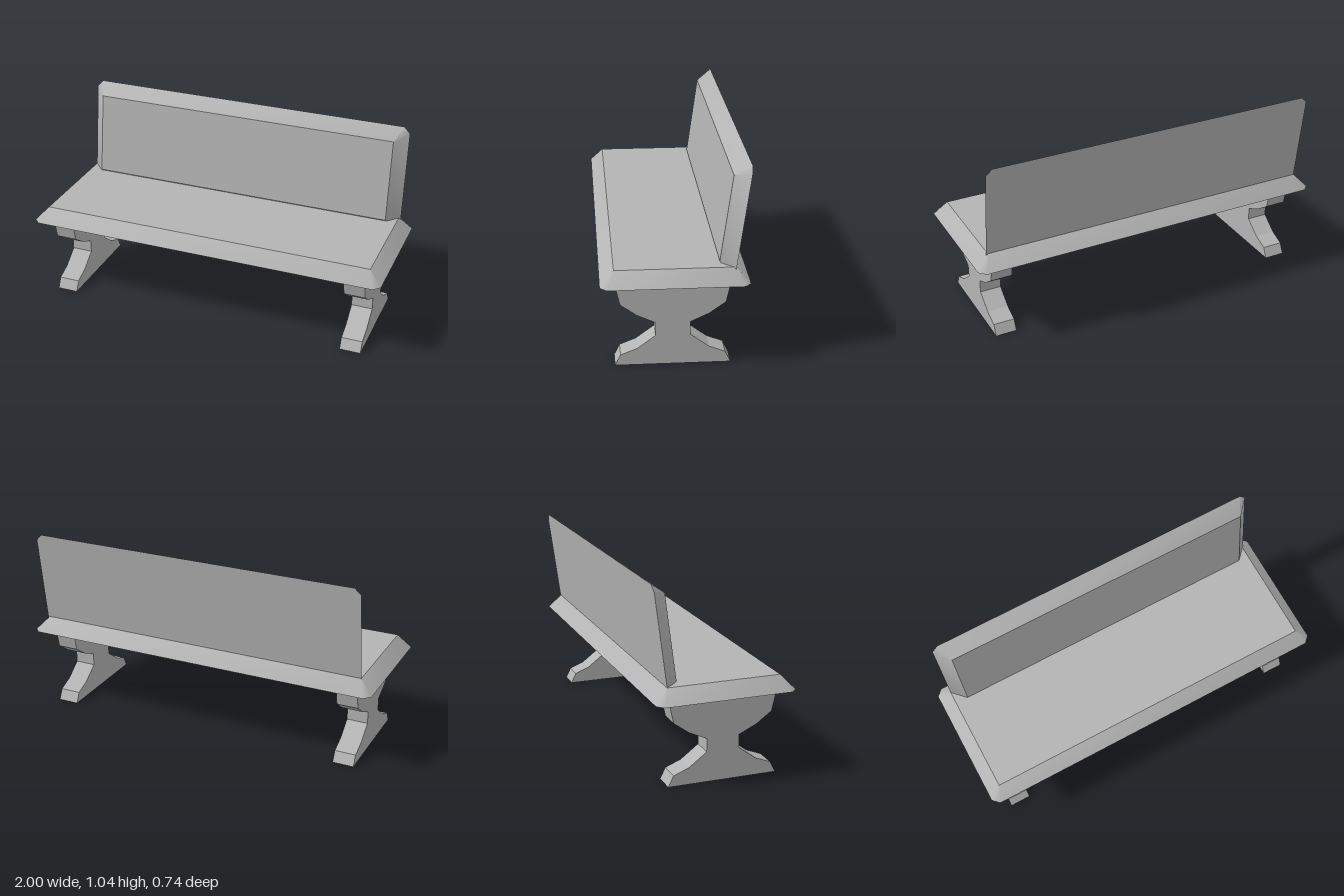
import * as THREE from 'three';
import { toCreasedNormals } from 'three/addons/utils/BufferGeometryUtils.js';

const THICK = 0.075, INSET = 0.07, CHAMFER = 0.034;

// Board in the xy plane with clipped corners, bevelled towards a smaller +z face
function bevelledBoard(width, height) {
  const outline = [], face = [];
  for (const [sx, sy] of [[1, 1], [-1, 1], [-1, -1], [1, -1]]) {
    const x = width / 2, y = height / 2;
    const a = [sx * x, sy * (y - CHAMFER), 0];
    const b = [sx * (x - CHAMFER), sy * y, 0];
    outline.push(...(sx * sy > 0 ? [a, b] : [b, a]));
    face.push([sx * (x - INSET), sy * (y - INSET), THICK]);
  }
  const v = [];
  const tri = (...points) => points.forEach((p) => v.push(...p));
  for (let i = 0; i < 4; i++) {
    const a = outline[2 * i], b = outline[2 * i + 1], c = outline[(2 * i + 2) % 8];
    const f = face[i], g = face[(i + 1) % 4];
    tri(a, b, f); // clipped corner
    tri(b, c, g); // long bevel
    tri(b, g, f);
  }
  tri(face[0], face[1], face[2]);
  tri(face[0], face[2], face[3]);
  for (let i = 1; i < 7; i++) tri(outline[0], outline[i + 1], outline[i]);
  const geometry = new THREE.BufferGeometry();
  geometry.setAttribute('position', new THREE.Float32BufferAttribute(v, 3));
  return toCreasedNormals(geometry, 0.66);
}

// Pedestal leg: symmetrical waisted profile, extruded sideways
function legGeometry(width) {
  const half = [
    [0.291, 0], [0.263, 0.057], [0.18, 0.09], [0.087, 0.16],
    [0.087, 0.23], [0.18, 0.273], [0.263, 0.333], [0.291, 0.456],
  ];
  const mirrored = half.map(([z, y]) => [-z, y]).reverse();
  const shape = new THREE.Shape([...half, ...mirrored].map(([z, y]) => new THREE.Vector2(z, y)));
  const geometry = new THREE.ExtrudeGeometry(shape, { depth: width, bevelEnabled: false });
  return geometry.translate(0, 0, -width / 2).rotateY(-Math.PI / 2);
}

export function createModel() {
  const bench = new THREE.Group();
  bench.name = 'bench';
  const grey = new THREE.MeshStandardMaterial({ color: 0xb4b4b4 });
  grey.name = 'grey';

  const add = (name, geometry, x, y, z) => {
    const mesh = new THREE.Mesh(geometry, grey);
    mesh.name = name;
    mesh.position.set(x, y, z);
    bench.add(mesh);
    return mesh;
  };

  // Seat lies flat, bevel upwards
  add('seat', bevelledBoard(2, 0.74), 0, 0.455, 0).rotation.x = -Math.PI / 2;

  // Backrest leans back, bevel forwards, lower edge sunk into the seat
  add('backrest', bevelledBoard(1.87, 0.591), 0.005, 0.75, -0.33).rotation.x = -0.136;

  // Pair of legs
  const leg = legGeometry(0.116);
  add('leftLeg', leg, 0.848, 0, 0.007);
  add('rightLeg', leg, -0.848, 0, 0.007);

  return bench;
}
